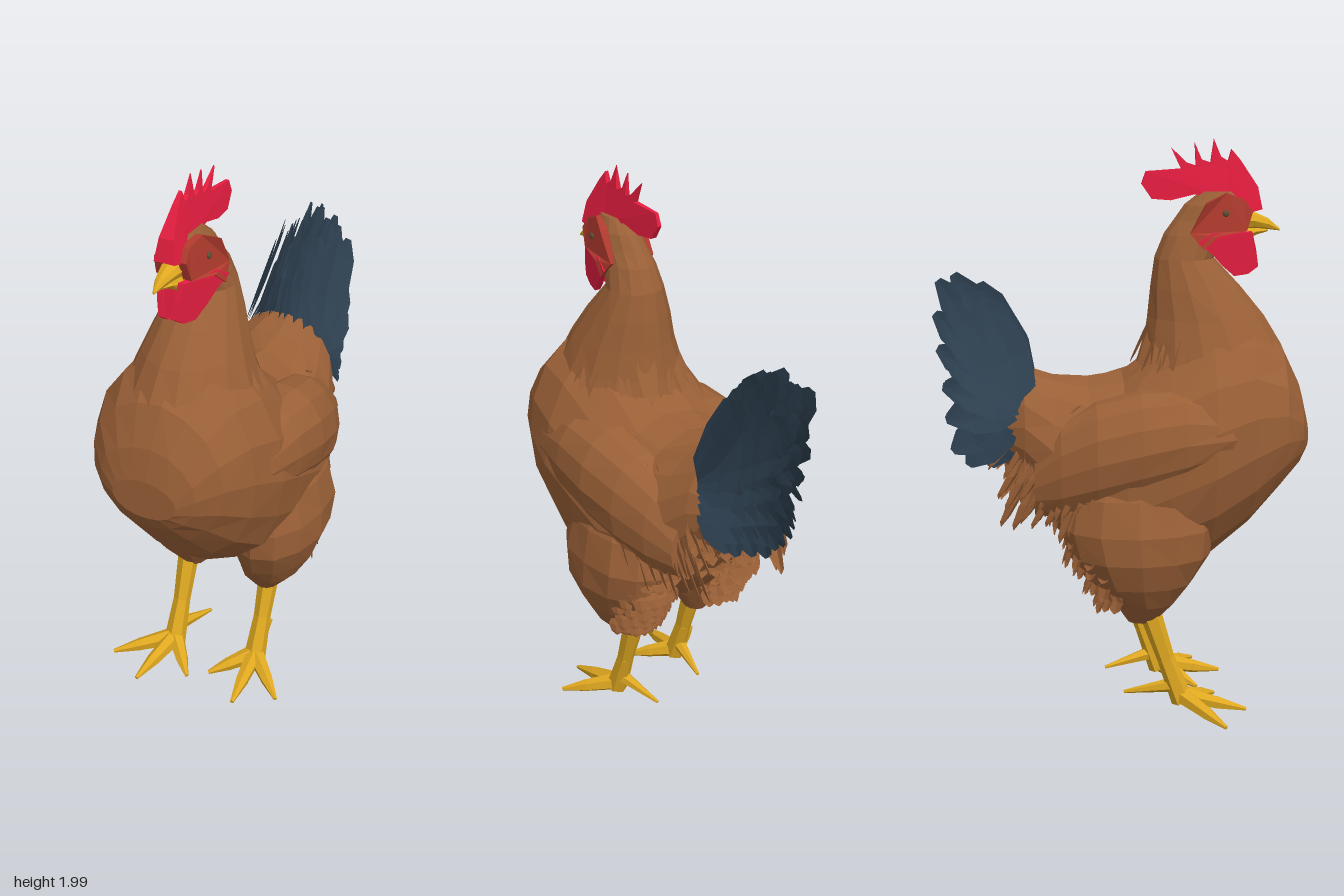
import * as THREE from 'three';

const mat = (name, color) => {
  const m = new THREE.MeshStandardMaterial({ color, side: THREE.DoubleSide });
  m.name = name;
  return m;
};
const V = (x, y, z) => new THREE.Vector3(x, y, z);

export function createModel() {
  const brown = mat('brown plumage', 0x9a6037);
  const dark = mat('dark blue tail', 0x2d3f4f);
  const red = mat('red comb', 0xee1f42);
  const rust = mat('rust red face', 0xb03a2e);
  const yellow = mat('yellow legs', 0xdfa820);
  const olive = mat('olive eye', 0x5c5034);

  const model = new THREE.Group();
  model.name = 'rooster';
  let seed = 7;
  const rand = () => (seed = (seed * 16807) % 2147483647) / 2147483647;
  const vary = a => (rand() - 0.5) * 2 * a;

  const add = (geo, material, name) => {
    const g = geo.index ? geo.toNonIndexed() : geo;
    g.computeVertexNormals(); // faceted normals
    const mesh = new THREE.Mesh(g, material);
    mesh.name = name;
    model.add(mesh);
    return mesh;
  };
  const fromPoints = pts => new THREE.BufferGeometry().setFromPoints(pts);

  // Closed skin through elliptical rings; each ring is [x, y, z, rx, r2]
  const loft = (rings, axis, n = 14, wobble = 0) => {
    const loops = rings.map(([x, y, z, rx, r2]) => Array.from({ length: n }, (_, i) => {
      const a = (i / n) * Math.PI * 2, k = 1 + vary(wobble);
      const u = Math.cos(a) * rx * k, v = Math.sin(a) * r2 * k;
      return axis === 'y' ? V(x + u, y, z + v) : V(x + u, y + v, z);
    }));
    const tris = [];
    const ends = [rings[0], rings[rings.length - 1]].map(r => V(r[0], r[1], r[2]));
    for (let i = 0; i < n; i++) {
      const j = (i + 1) % n;
      for (let k = 0; k < loops.length - 1; k++) {
        const a = loops[k], b = loops[k + 1];
        tris.push(a[i], a[j], b[j], a[i], b[j], b[i]);
      }
      const l = loops[loops.length - 1];
      tris.push(ends[0], loops[0][j], loops[0][i], ends[1], l[i], l[j]);
    }
    // Rings running along +z or -y wind outward, the rest are flipped
    const flip = axis === 'y' ? rings[1][1] > rings[0][1] : rings[1][2] < rings[0][2];
    if (flip) for (let i = 0; i < tris.length; i += 3) [tris[i], tris[i + 1]] = [tris[i + 1], tris[i]];
    return fromPoints(tris);
  };

  // Flat plate cut in the side plane from [z, y] points; rule gives x from (x, y, z)
  const plate = (outline, depth, rule) => {
    const shape = new THREE.Shape(outline.map(([z, y]) => new THREE.Vector2(-z, y)));
    const g = new THREE.ExtrudeGeometry(shape, { depth, bevelEnabled: false });
    g.translate(0, 0, -depth / 2).rotateY(Math.PI / 2); // shape x becomes -z
    const p = g.attributes.position;
    for (let i = 0; i < p.count; i++) p.setX(i, rule(p.getX(i), p.getY(i), p.getZ(i)));
    return g;
  };

  // Leaf with a raised spine, pushed onto a triangle list
  const feather = (list, root, tip, side, width, ridge, blunt = 0.7, end = 0.06) => {
    const dir = tip.clone().sub(root), s = side.clone().normalize();
    const out = s.clone().cross(dir).normalize();
    const rows = [[0, 0.5], [0.4, 1], [0.82, blunt], [1, end]].map(([t, w]) => [-1, 0, 1].map(k =>
      root.clone().addScaledVector(dir, t).addScaledVector(s, k * w * width / 2)
        .addScaledVector(out, k ? 0 : ridge * Math.sin(t * 3))));
    for (let i = 0; i < 3; i++) for (let k = 0; k < 2; k++) {
      const a = rows[i], b = rows[i + 1];
      list.push(a[k], a[k + 1], b[k + 1], a[k], b[k + 1], b[k]);
    }
  };

  // Torso: z, top, bottom, half width
  const torso = [[0.638, 1.06, 0.92, 0.12], [0.612, 1.17, 0.87, 0.18], [0.55, 1.3, 0.79, 0.25],
    [0.44, 1.4, 0.66, 0.305], [0.3, 1.4, 0.55, 0.335], [0.15, 1.32, 0.5, 0.335], [0, 1.2, 0.48, 0.325],
    [-0.12, 1.18, 0.53, 0.295], [-0.24, 1.195, 0.66, 0.25], [-0.34, 1.225, 0.8, 0.195], [-0.42, 1.14, 0.9, 0.135]];
  add(loft(torso.map(([z, t, b, w]) => [0, (t + b) / 2, z, w, (t - b) / 2]), 'z', 17, 0.016), brown, 'torso');

  // Neck and head: y, front z, back z, half width
  const neck = [[1.1, 0.6, 0.0, 0.27], [1.2, 0.592, 0.045, 0.245], [1.3, 0.55, 0.07, 0.208], [1.4, 0.49, 0.085, 0.172],
    [1.5, 0.41, 0.095, 0.138], [1.6, 0.315, 0.11, 0.1], [1.68, 0.345, 0.14, 0.082], [1.73, 0.41, 0.175, 0.073],
    [1.78, 0.425, 0.21, 0.066], [1.825, 0.38, 0.27, 0.042]];
  add(loft(neck.map(([y, f, b, w]) => [0, y, (f + b) / 2, w, (f - b) / 2]), 'y', 15, 0.014), brown, 'neck');

  // Ragged collar of feathers round the sides and back of the neck
  const collar = [];
  for (let i = 0; i < 26; i++) {
    const a = Math.PI * (0.85 + (i / 25) * 1.3), c = Math.cos(a), s = Math.sin(a);
    feather(collar, V(c * 0.14, 1.42, 0.285 + s * 0.175),
      V(c * (0.25 + vary(0.01)), 1.18 + vary(0.05), 0.31 + s * (0.28 + vary(0.01))), V(-s, 0, c), 0.075, -0.01);
  }
  add(fromPoints(collar), brown, 'neckFeathers');

  const saddle = [], fluff = [], tail = [];
  for (const m of [-1, 1]) {
    const sideName = m > 0 ? 'left' : 'right';

    // Wing, sunk into the flank: z, centre y, half height, centre x, half width
    const wing = [[0.42, 1.03, 0.02, 0.25, 0.03], [0.35, 1.03, 0.11, 0.215, 0.11], [0.2, 1.02, 0.17, 0.21, 0.142],
      [0.05, 0.99, 0.19, 0.21, 0.146], [-0.1, 0.95, 0.19, 0.195, 0.137], [-0.22, 0.9, 0.17, 0.175, 0.11],
      [-0.31, 0.85, 0.11, 0.16, 0.07]];
    add(loft(wing.map(([z, y, h, x, w]) => [x * m, y, z, w, h]), 'z', 14, 0.016), brown, sideName + 'Wing');

    // Thigh: y, x, z, half width, half depth
    const thigh = [[0.34, 0.15, 0.06, 0.04, 0.05], [0.42, 0.165, 0.07, 0.1, 0.11], [0.5, 0.182, 0.055, 0.132, 0.18],
      [0.6, 0.2, 0.05, 0.152, 0.24], [0.7, 0.205, 0.04, 0.15, 0.26], [0.82, 0.19, 0.04, 0.138, 0.235],
      [0.95, 0.16, 0.05, 0.11, 0.17]];
    add(loft(thigh.map(([y, x, z, w, d]) => [x * m, y, z, w, d]), 'y', 12, 0.025), brown, sideName + 'Thigh');

    // Feathers hanging over the rump and the wing tips
    for (let row = 0; row < 4; row++) for (let i = 0; i < 9; i++) {
      const t = i / 8, y = 1.12 - row * 0.09;
      const z = -0.08 - t * 0.3, x = 0.288 - t * 0.12 - Math.max(0, 0.03 * (2 - row));
      feather(saddle, V(x * m, y, z + 0.03),
        V((x + 0.012 - row * 0.008) * m, y - 0.19 + vary(0.03) + t * 0.04, z - 0.09 + row * 0.015 + vary(0.012)),
        V(-0.4 * m, 0.45, 1), 0.06, 0.012 * m);
    }
    // Feathers across the rear, under the tail
    for (let row = 0; row < 3; row++) for (let i = 0; i < 4; i++) {
      const x = 0.02 + i * 0.045;
      feather(saddle, V(x * m, 1.02 - row * 0.11, -0.39 + row * 0.055 + i * 0.015),
        V(x * 1.1 * m, 0.83 - row * 0.075 + vary(0.02), -0.41 + row * 0.06 + i * 0.015), V(1, 0, 0.25 * m), 0.07, -0.015);
    }
    // Short fluff on the back of the thigh
    for (let row = 0; row < 6; row++) for (let i = 0; i < 7; i++) {
      const a = -Math.PI * (0.2 + 0.6 * (i + (row % 2) / 2) / 7), y = 0.48 + row * 0.055;
      const rx = 0.105 + Math.min(row, 3) * 0.013, rz = 0.145 + Math.min(row, 3) * 0.035;
      const p = V((0.185 + Math.cos(a) * rx) * m, y, 0.055 + Math.sin(a) * rz);
      feather(fluff, p, p.clone().add(V(Math.cos(a) * 0.005 * m, -0.07 + vary(0.015), Math.sin(a) * 0.025)),
        V(-Math.sin(a) * m, 0, Math.cos(a)), 0.055, 0.008);
    }

    // Tail fan in layers, each tip is [z, y]; layers shorten and converge outward
    const tips = [[-0.49, 1.52], [-0.57, 1.545], [-0.63, 1.53], [-0.635, 1.41], [-0.63, 1.29],
      [-0.615, 1.16], [-0.61, 1.04], [-0.59, 0.93], [-0.54, 0.87], [-0.46, 0.87]];
    for (let k = 0; k < 4; k++) tips.forEach(([z, y], i) => {
      const shrink = 1 - k * 0.07 + vary(0.025), low = i / 9;
      const root = V((0.015 + k * 0.045) * m, 1.17 - low * 0.09, -0.33 - low * 0.045);
      const tip = V((0.01 + k * (0.033 + 0.01 * low) + vary(0.018)) * m,
        root.y + (y - root.y) * shrink, root.z + (z - root.z) * shrink);
      const d = tip.clone().sub(root);
      feather(tail, root, tip, V(-(0.12 + k * 0.12) * d.length() * m, -d.z, d.y), 0.14 - low * 0.02, 0.01 * m, 0.78, 0.2);
    });

    // Face patch flaring into an ear lobe, wattle and eye
    add(plate([[0.44, 1.76], [0.41, 1.8], [0.35, 1.822], [0.28, 1.79], [0.225, 1.69], [0.27, 1.635], [0.32, 1.68], [0.42, 1.695]],
      0.03, (x, y, z) => x + m * (0.088 - Math.abs(z - 0.275) * 0.27 - Math.max(0, y - 1.76) * 0.35)), rust, sideName + 'Face');
    add(plate([[0.44, 1.69], [0.455, 1.63], [0.465, 1.57], [0.43, 1.545], [0.38, 1.54], [0.335, 1.58], [0.3, 1.62],
      [0.25, 1.66], [0.3, 1.69]], 0.022,
    (x, y, z) => x + m * (0.036 + (0.45 - z) * 0.28 - Math.max(0, 1.66 - y) * 0.12)), red, sideName + 'Wattle');
    const eye = add(new THREE.IcosahedronGeometry(0.012, 1), olive, sideName + 'Eye');
    eye.scale.x = 0.5;
    eye.position.set(0.084 * m, 1.757, 0.345);

    // Shank and toes, the right foot set a little forward
    const shift = m > 0 ? 0 : 0.055;
    const limb = (a, b, ra, rb, name) => {
      const d = b.clone().sub(a);
      const mesh = add(new THREE.CylinderGeometry(rb, ra, d.length(), 6), yellow, sideName + name);
      mesh.position.copy(a).addScaledVector(d, 0.5);
      mesh.quaternion.setFromUnitVectors(V(0, 1, 0), d.normalize());
    };
    const x = m > 0 ? 0.145 : -0.165, ankle = V(x, 0.06, 0.145 + shift);
    limb(V(x, 0.4, 0.025 + shift), V(x, 0.2, 0.09 + shift), 0.04, 0.031, 'UpperShank');
    limb(V(x, 0.2, 0.09 + shift), V(x, 0.04, 0.15 + shift), 0.031, 0.04, 'LowerShank');
    for (const [dx, dz] of [[m > 0 ? 0.16 : 0.185, 0.14], [0.03, 0.23], [-0.125, 0.13]]) {
      const mid = V(x + dx * 0.55 * m, 0.034, ankle.z + dz * 0.55), end = V(x + dx * m, 0.012, ankle.z + dz);
      limb(ankle, mid, 0.034, 0.024, 'Toe');
      limb(mid, end, 0.025, 0.007, 'Claw');
    }
    limb(V(x, 0.1, 0.125 + shift), V(x - 0.04 * m, 0.06, -0.055 + shift), 0.027, 0.006, 'HindToe');
  }
  add(fromPoints(saddle), brown, 'saddleFeathers');
  add(fromPoints(fluff), brown, 'thighFluff');
  add(fromPoints(tail), dark, 'tailFeathers');

  // Solid heart of the tail: y, z, half width, half depth
  add(loft([[0.92, -0.44, 0.1, 0.06], [1.05, -0.43, 0.14, 0.1], [1.2, -0.42, 0.14, 0.1], [1.34, -0.45, 0.11, 0.08],
    [1.44, -0.5, 0.05, 0.05]].map(([y, z, w, d]) => [0, y, z, w, d]), 'y', 10, 0.04), dark, 'tailBase');

  // Comb, thinning toward its spikes and its back end
  add(plate([[0.475, 1.765], [0.46, 1.84], [0.4, 1.93], [0.37, 1.965], [0.36, 1.925], [0.335, 1.94], [0.31, 2],
    [0.3, 1.92], [0.27, 1.93], [0.245, 1.988], [0.25, 1.91], [0.22, 1.92], [0.165, 1.972], [0.2, 1.9], [0.08, 1.892],
    [0.065, 1.85], [0.1, 1.8], [0.165, 1.795], [0.245, 1.815], [0.35, 1.8], [0.42, 1.75]], 0.07,
  (x, y, z) => x * Math.min(1, 0.3 + Math.max(0, z - 0.06) * 1.8) * (2.01 - y) / 0.23), red, 'comb');

  // Hooked upper beak, and a lower beak deepening into the chin
  add(loft([[0, 1.725, 0.4, 0.04, 0.036], [0, 1.725, 0.45, 0.034, 0.028], [0, 1.712, 0.5, 0.02, 0.019],
    [0, 1.692, 0.54, 0.004, 0.004]], 'z', 8), yellow, 'upperBeak');
  add(loft([[0, 1.65, 0.32, 0.035, 0.045], [0, 1.665, 0.39, 0.03, 0.038], [0, 1.687, 0.46, 0.02, 0.013],
    [0, 1.69, 0.5, 0.004, 0.004]], 'z', 6), yellow, 'lowerBeak');

  return model;
}
